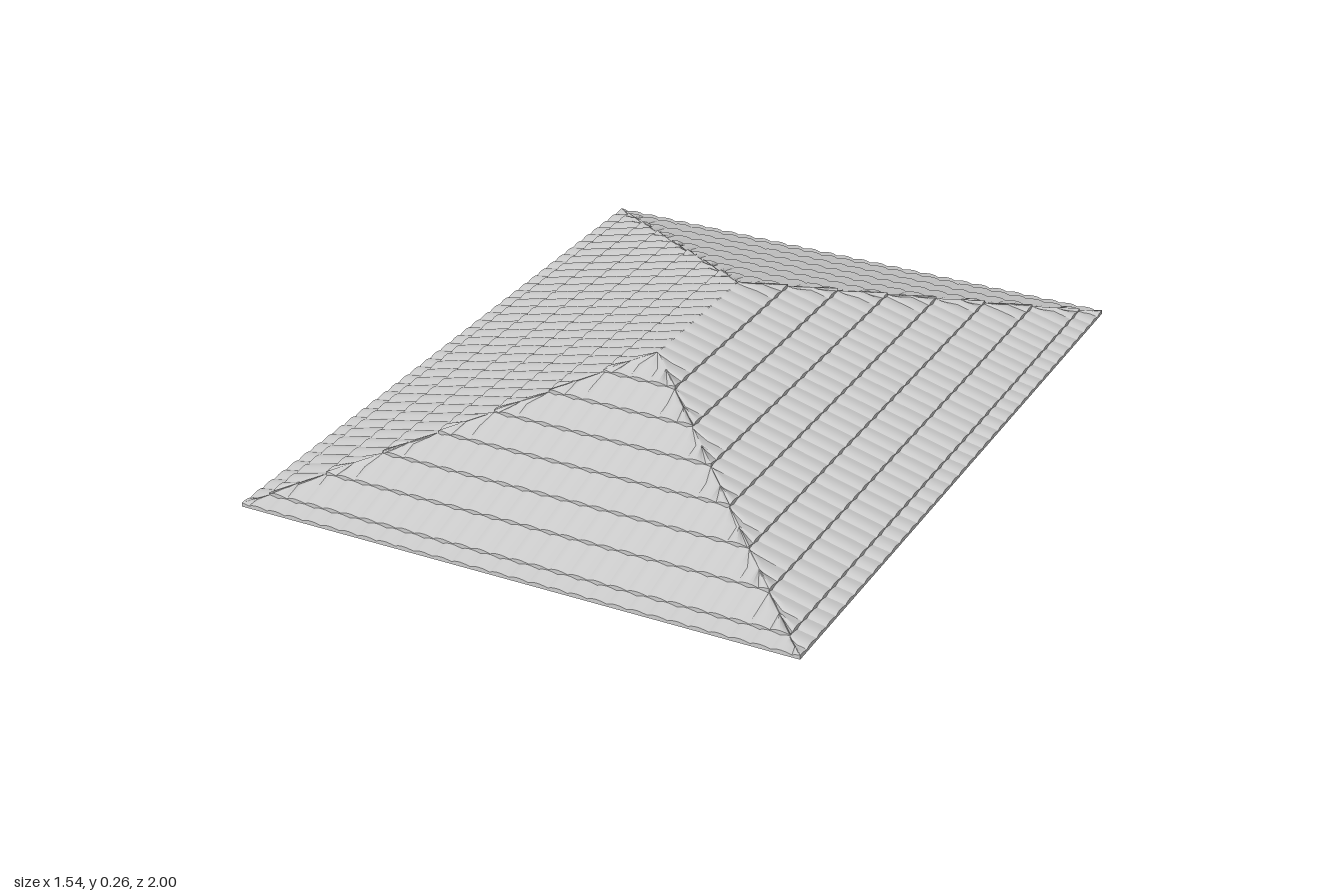
import * as THREE from 'three';

const HALF_W = 0.77, HALF_L = 1, RIDGE_Y = 0.257;
const PITCH = RIDGE_Y / HALF_W;
const TILE_W = 0.0535, ROW = 0.103, FIRST_ROW = 0.05;
const STEP = 0.007, BARREL = 0.005;
const ACROSS = 6, ALONG = 2;

const material = new THREE.MeshStandardMaterial({ color: 0xcccccc, side: THREE.DoubleSide });

// Collects grid patches, skipping the triangles that collapse at a hip line
function patchBuilder() {
  const positions = [], indices = [];
  const a = new THREE.Vector3(), b = new THREE.Vector3(), c = new THREE.Vector3();
  const addTriangle = (i, j, k) => {
    a.fromArray(positions, i * 3);
    b.fromArray(positions, j * 3).sub(a);
    c.fromArray(positions, k * 3).sub(a);
    if (b.cross(c).length() > 1e-9) indices.push(i, j, k);
  };
  return {
    add(cols, rows, pointAt) {
      const base = positions.length / 3;
      for (let j = 0; j <= rows; j++)
        for (let i = 0; i <= cols; i++) positions.push(...pointAt(i / cols, j / rows));
      for (let j = 0; j < rows; j++)
        for (let i = 0; i < cols; i++) {
          const p = base + j * (cols + 1) + i, q = p + cols + 1;
          addTriangle(p, p + 1, q + 1);
          addTriangle(p, q + 1, q);
        }
    },
    build() {
      const geometry = new THREE.BufferGeometry();
      geometry.setAttribute('position', new THREE.Float32BufferAttribute(positions, 3));
      geometry.setIndex(indices);
      geometry.computeVertexNormals();
      return geometry;
    },
  };
}

// One slope of overlapping curved tiles, trimmed along its two hips.
// halfEave: half the eave length, reach: distance from the centre to the eave
function tiledSlope(name, halfEave, reach, angle) {
  const patches = patchBuilder();
  const point = (u, d, lift) => {
    const limit = Math.max(0, halfEave - d);
    return [THREE.MathUtils.clamp(u, -limit, limit), d * PITCH + lift, reach - d];
  };
  // Each tile is a shallow barrel, steeper on one side
  const barrel = (t) => BARREL * Math.sin(Math.PI * Math.pow(t, 0.8));

  let start = 0;
  for (let row = 0; start < HALF_W - 0.01; row++) {
    const end = Math.min(row === 0 ? FIRST_ROW : start + ROW, HALF_W);
    const d0 = start, d1 = end;
    const half = halfEave - d0;
    const shift = (row % 2) * TILE_W / 2;
    const first = Math.floor((-half - shift) / TILE_W);
    const last = Math.ceil((half - shift) / TILE_W);
    for (let n = first; n < last; n++) {
      const u = (t) => (n + t) * TILE_W + shift;
      // Tile face, lifted at its lower edge over the row below
      patches.add(ACROSS, ALONG, (t, v) =>
        point(u(t), d0 + (d1 - d0) * v, STEP * (1 - v) + barrel(t)));
      // Butt end of the tile
      patches.add(ACROSS, 1, (t, v) => point(u(t), d0, v * (STEP + barrel(t))));
    }
    start = end;
  }

  const slope = new THREE.Mesh(patches.build(), material);
  slope.name = name;
  slope.rotation.y = angle;
  return slope;
}

export function createModel() {
  const roof = new THREE.Group();
  roof.name = 'hipRoof';
  roof.add(
    tiledSlope('frontSlope', HALF_W, HALF_L, 0),
    tiledSlope('leftSlope', HALF_L, HALF_W, Math.PI / 2),
    tiledSlope('backSlope', HALF_W, HALF_L, Math.PI),
    tiledSlope('rightSlope', HALF_L, HALF_W, -Math.PI / 2),
  );
  return roof;
}
